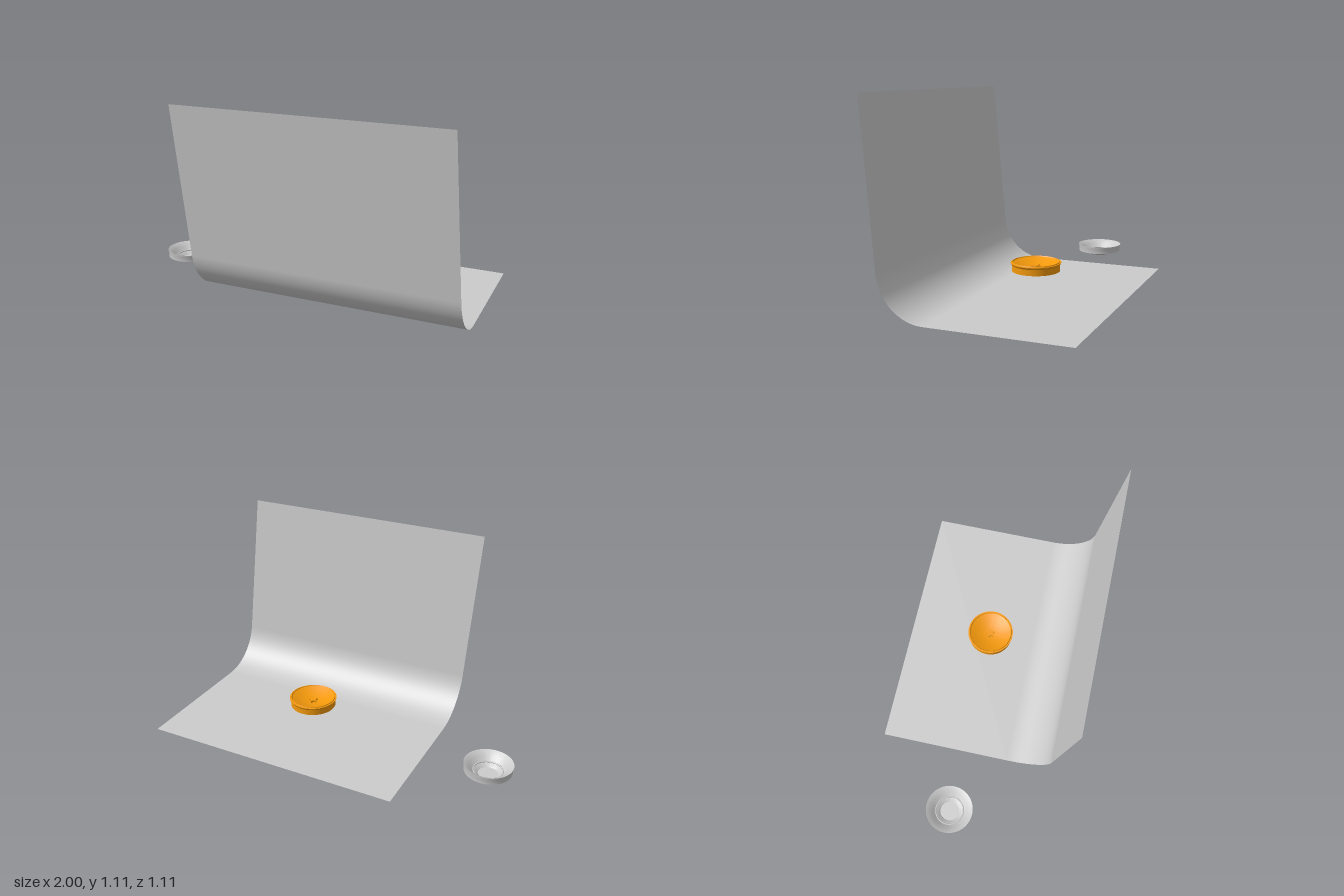
import * as THREE from 'three';
import { toCreasedNormals } from 'three/addons/utils/BufferGeometryUtils.js';

const grey = new THREE.MeshStandardMaterial({ color: 0xcccccc, side: THREE.DoubleSide });
const orange = new THREE.MeshStandardMaterial({ color: 0xf59a0c, side: THREE.DoubleSide });

function part(name, geometry, material, parent) {
  const mesh = new THREE.Mesh(geometry, material);
  mesh.name = name;
  parent.add(mesh);
  return mesh;
}

// Turned surface from [radius, height] pairs, with sharp edges kept
function turned(profile) {
  const points = profile.map(([r, y]) => new THREE.Vector2(r, y));
  return toCreasedNormals(new THREE.LatheGeometry(points, 64), 0.45);
}

// Thin sheet: flat floor, quarter bend, slightly leaning and sheared wall
function sheetGeometry() {
  const floorY = 0.025, bendZ = 0.2, radius = 0.26, angle = THREE.MathUtils.degToRad(83.6);
  const profile = [[-0.56, floorY]];
  const steps = 32;
  for (let i = 0; i <= steps; i++) {
    const a = angle * i / steps;
    profile.push([bendZ + radius * Math.sin(a), floorY + radius * (1 - Math.cos(a))]);
  }
  profile.push([0.553, 1.11]);
  const geometry = new THREE.PlaneGeometry(1.5, 1, 1, profile.length - 1);
  const pos = geometry.attributes.position;
  for (let i = 0; i < pos.count; i++) {
    const [z, y] = profile[Math.floor(i / 2)];
    const shear = -0.05 * (y - floorY) / 1.085;
    pos.setXYZ(i, pos.getX(i) + 0.25 + shear, y, z);
  }
  geometry.computeVertexNormals();
  return geometry;
}

// Small five-pointed star lying flat
function starGeometry(outer, inner, height) {
  const shape = new THREE.Shape();
  for (let i = 0; i < 10; i++) {
    const r = i % 2 ? inner : outer, a = Math.PI / 2 + i * Math.PI / 5;
    if (i === 0) shape.moveTo(r * Math.cos(a), r * Math.sin(a));
    else shape.lineTo(r * Math.cos(a), r * Math.sin(a));
  }
  return new THREE.ExtrudeGeometry(shape, { depth: height, bevelEnabled: false }).rotateX(-Math.PI / 2);
}

export function createModel() {
  const model = new THREE.Group();
  part('backdropSheet', sheetGeometry(), grey, model);

  // Open stepped dish
  const dish = new THREE.Group();
  dish.name = 'greyDish';
  dish.position.set(-0.863, 0, -0.068);
  part('dishSkirt', turned([[0.127, 0.025], [0.133, 0.025], [0.133, 0.052], [0.137, 0.063], [0.137, 0.067]]), grey, dish);
  part('dishBowl', turned([
    [0.137, 0.067], [0.104, 0.048], [0.087, 0.024], [0.08, 0.02], [0.072, 0.016], [0.055, 0.002], [0, 0.002],
  ]), grey, dish);
  part('dishSeatRing', new THREE.TorusGeometry(0.081, 0.004, 8, 64).rotateX(Math.PI / 2).translate(0, 0.022, 0), grey, dish);
  part('dishFoot', turned([[0, 0], [0.053, 0], [0.07, 0.012], [0.088, 0.018], [0.088, 0.024]]), grey, dish);
  model.add(dish);

  // Coloured dish with a shallow bowl and a star boss
  const cap = new THREE.Group();
  cap.name = 'orangeDish';
  cap.position.set(0.228, 0.122, -0.058);
  part('capSkirt', turned([
    [0.127, 0.019], [0.131, 0.019], [0.131, 0.052], [0.137, 0.061], [0.137, 0.065], [0.129, 0.065], [0.127, 0.07],
  ]), orange, cap);
  part('capBowl', turned([
    [0.127, 0.07], [0.124, 0.065], [0.09, 0.051], [0.055, 0.041], [0.03, 0.037], [0, 0.036],
  ]), orange, cap);
  part('capFoot', turned([
    [0, 0], [0.055, 0], [0.072, 0.011], [0.088, 0.016], [0.088, 0.021], [0.127, 0.021],
  ]), orange, cap);
  part('starBoss', starGeometry(0.027, 0.016, 0.012), orange, cap).position.y = 0.036;
  model.add(cap);

  return model;
}
